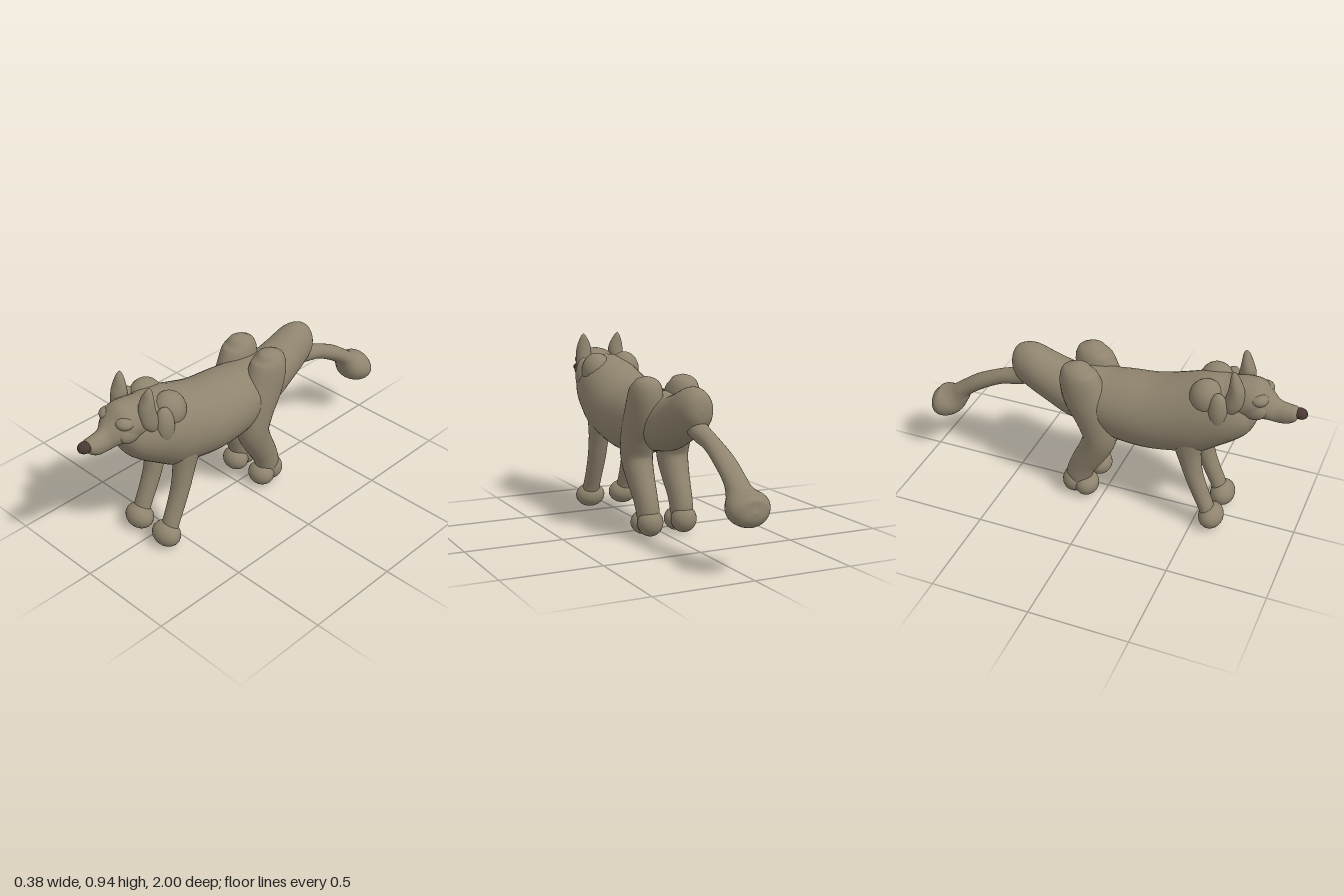
import * as THREE from 'three';

const X = new THREE.Vector3(1, 0, 0);

// Smooth skin through elliptical rings [x, y, z, radiusX, radiusAcross].
// 'axis' fixes the ring direction; otherwise rings follow the path.
function loft(rings, axis = null, perRing = 5, sides = 28) {
  const centres = new THREE.CatmullRomCurve3(rings.map(r => new THREE.Vector3(r[0], r[1], r[2])), false, 'catmullrom');
  const radii = new THREE.CatmullRomCurve3(rings.map(r => new THREE.Vector3(r[3], r[4], 0)), false, 'catmullrom');
  const n = (rings.length - 1) * perRing;
  const pos = [], idx = [];
  for (let i = 0; i <= n; i++) {
    const c = centres.getPoint(i / n), r = radii.getPoint(i / n);
    const t = axis ? axis.clone() : centres.getTangent(i / n);
    t.x = 0;
    const v = t.normalize().cross(X);
    const rx = Math.max(r.x, 0.0005), rv = Math.max(r.y, 0.0005);
    for (let j = 0; j < sides; j++) {
      const a = j / sides * Math.PI * 2, s = Math.sin(a) * rv;
      pos.push(c.x + Math.cos(a) * rx, c.y + v.y * s, c.z + v.z * s);
      if (i < n) {
        const k = (j + 1) % sides, p = i * sides, q = p + sides;
        idx.push(p + j, p + k, q + k, p + j, q + k, q + j);
      }
    }
  }
  const g = new THREE.BufferGeometry();
  g.setAttribute('position', new THREE.Float32BufferAttribute(pos, 3));
  g.setIndex(idx);
  g.computeVertexNormals();
  return g;
}

export function createModel() {
  const model = new THREE.Group();
  const fur = new THREE.MeshStandardMaterial({ color: 0x8f846e });
  fur.name = 'fur';
  const dark = new THREE.MeshStandardMaterial({ color: 0x4a3832 });
  dark.name = 'noseBrown';

  const add = (name, geometry, material = fur) => {
    const m = new THREE.Mesh(geometry, material);
    m.name = name;
    model.add(m);
    return m;
  };
  const lump = (name, p, r, material = fur) => {
    const m = add(name, new THREE.SphereGeometry(1, 20, 14), material);
    m.position.set(...p);
    m.scale.set(...r);
    return m;
  };

  // Torso from chest to rump
  add('torso', loft([
    [0, 0.67, 0.775, 0, 0],
    [0, 0.66, 0.74, 0.09, 0.08],
    [0, 0.66, 0.68, 0.135, 0.14],
    [0, 0.65, 0.6, 0.165, 0.185],
    [0, 0.615, 0.5, 0.18, 0.215],
    [0, 0.588, 0.4, 0.186, 0.206],
    [0, 0.555, 0.25, 0.19, 0.192],
    [0, 0.55, 0.1, 0.182, 0.182],
    [0, 0.56, 0, 0.17, 0.16],
    [0, 0.57, -0.1, 0.15, 0.152],
    [0, 0.575, -0.2, 0.13, 0.137],
    [0, 0.612, -0.3, 0.115, 0.13],
    [0, 0.655, -0.4, 0.1, 0.125],
    [0, 0.67, -0.47, 0.078, 0.1],
    [0, 0.675, -0.505, 0.045, 0.06],
    [0, 0.675, -0.515, 0, 0],
  ], new THREE.Vector3(0, 0, -1), 4, 36));

  // Skull and muzzle
  add('head', loft([
    [0, 0.74, 0.55, 0.11, 0.09],
    [0, 0.745, 0.64, 0.112, 0.097],
    [0, 0.757, 0.7, 0.108, 0.098],
    [0, 0.758, 0.77, 0.1, 0.093],
    [0, 0.735, 0.82, 0.075, 0.068],
    [0, 0.713, 0.86, 0.049, 0.058],
    [0, 0.709, 0.91, 0.043, 0.05],
    [0, 0.718, 0.95, 0.036, 0.032],
    [0, 0.722, 0.965, 0, 0],
  ], new THREE.Vector3(0, 0, 1)));
  lump('nose', [0, 0.725, 0.966], [0.033, 0.025, 0.034], dark).rotation.x = 0.2;

  // Tail ending in a blunt tuft
  add('tail', loft([
    [0, 0.62, -0.4, 0.05, 0.06],
    [0, 0.575, -0.49, 0.049, 0.046],
    [0, 0.54, -0.6, 0.044, 0.039],
    [0, 0.48, -0.72, 0.052, 0.041],
    [0, 0.415, -0.81, 0.055, 0.043],
    [0, 0.365, -0.855, 0.065, 0.06],
    [0, 0.325, -0.9, 0.098, 0.08],
    [0, 0.305, -0.945, 0.104, 0.08],
    [0, 0.3, -0.985, 0.07, 0.058],
    [0, 0.3, -1, 0, 0],
  ]));

  for (const [s, side] of [[1, 'left'], [-1, 'right']]) {
    // Ear
    add(side + 'Ear', loft([
      [s * 0.112, 0.7, 0.64, 0.012, 0.02],
      [s * 0.105, 0.76, 0.665, 0.032, 0.045],
      [s * 0.095, 0.83, 0.675, 0.041, 0.04],
      [s * 0.095, 0.88, 0.67, 0.036, 0.028],
      [s * 0.099, 0.925, 0.663, 0.016, 0.016],
      [s * 0.1, 0.945, 0.66, 0, 0],
    ], new THREE.Vector3(0, 1, 0)));

    // Cheek, brow and shoulder masses
    lump(side + 'Cheek', [s * 0.07, 0.735, 0.76], [0.032, 0.05, 0.06]);
    lump(side + 'Brow', [s * 0.055, 0.79, 0.775], [0.046, 0.032, 0.045]);
    lump(side + 'Shoulder', [s * 0.08, 0.755, 0.53], [0.08, 0.095, 0.085]);
    lump(side + 'Ruff', [s * 0.125, 0.72, 0.6], [0.045, 0.1, 0.05]);

    // Front leg and paw
    add(side + 'FrontLeg', loft([
      [s * 0.1, 0.5, 0.45, 0.06, 0.08],
      [s * 0.1, 0.41, 0.465, 0.052, 0.06],
      [s * 0.1, 0.3, 0.492, 0.049, 0.046],
      [s * 0.101, 0.2, 0.53, 0.046, 0.041],
      [s * 0.102, 0.12, 0.565, 0.046, 0.038],
      [s * 0.102, 0.06, 0.585, 0.05, 0.035],
    ]));
    lump(side + 'FrontPaw', [s * 0.098, 0.065, 0.593], [0.08, 0.064, 0.063]);

    // Hind leg with raised hip
    add(side + 'HindLeg', loft([
      [s * 0.1, 0.803, -0.12, 0, 0],
      [s * 0.1, 0.785, -0.12, 0.05, 0.055],
      [s * 0.1, 0.73, -0.118, 0.08, 0.097],
      [s * 0.1, 0.62, -0.085, 0.086, 0.112],
      [s * 0.1, 0.5, -0.03, 0.084, 0.105],
      [s * 0.1, 0.39, -0.008, 0.08, 0.088],
      [s * 0.098, 0.29, -0.045, 0.07, 0.078],
      [s * 0.096, 0.2, -0.095, 0.06, 0.07],
      [s * 0.094, 0.12, -0.125, 0.056, 0.066],
      [s * 0.094, 0.06, -0.13, 0.05, 0.05],
    ]));
    lump(side + 'HindPaw', [s * 0.093, 0.065, -0.083], [0.072, 0.062, 0.062]);
    lump(side + 'HindHeel', [s * 0.093, 0.075, -0.15], [0.066, 0.068, 0.062]);
  }

  return model;
}
